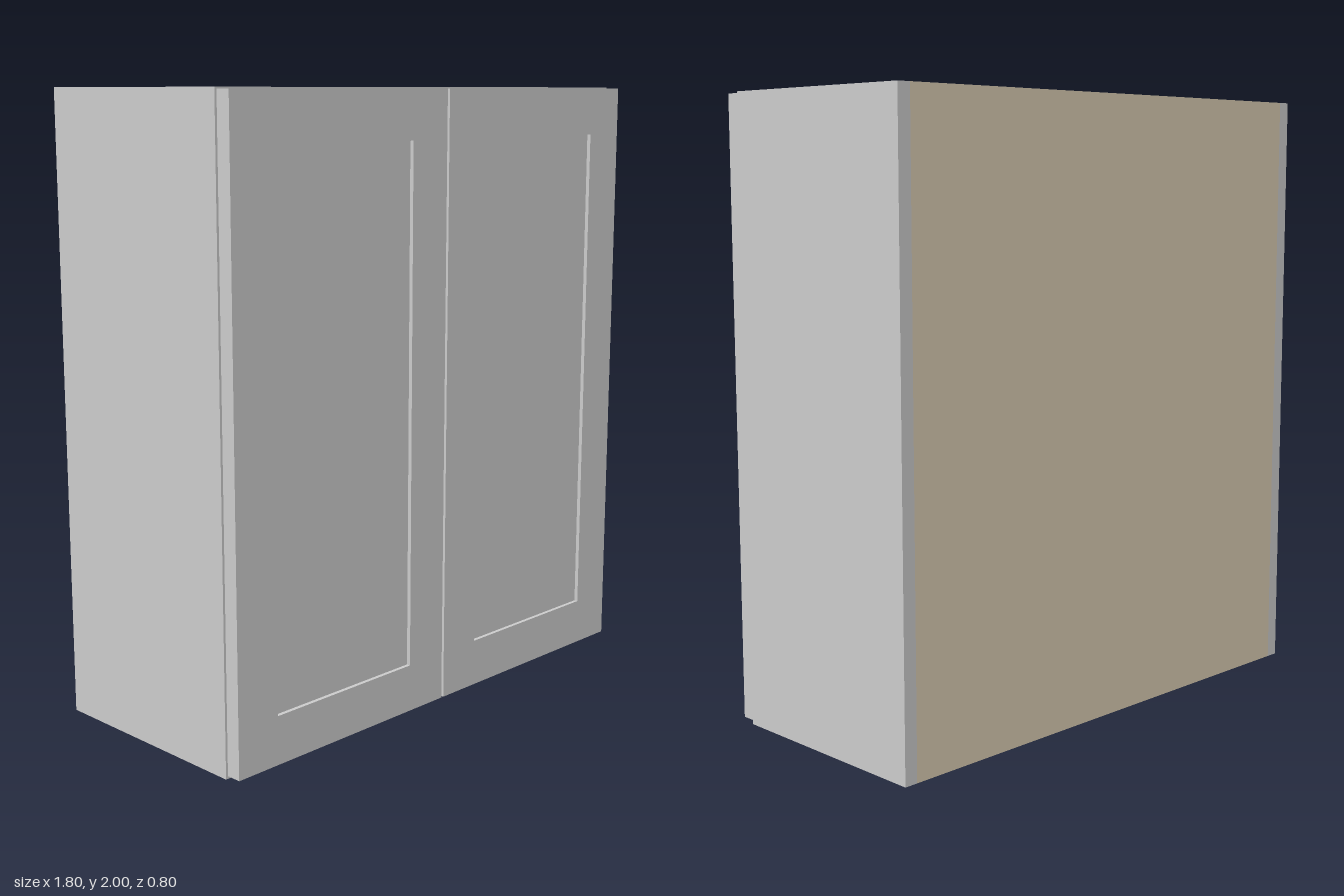
import * as THREE from 'three';

const grey = new THREE.MeshStandardMaterial({ color: 0xcccccc });
const wood = new THREE.MeshStandardMaterial({ color: 0xd8cbb2 });

// Box given by its min and max corners
function board(name, [x0, y0, z0], [x1, y1, z1], material) {
  const mesh = new THREE.Mesh(new THREE.BoxGeometry(x1 - x0, y1 - y0, z1 - z0), material);
  mesh.position.set((x0 + x1) / 2, (y0 + y1) / 2, (z0 + z1) / 2);
  mesh.name = name;
  return mesh;
}

// Rectangle outline centred on the origin
function rectangle(target, w, h) {
  return target.moveTo(-w / 2, -h / 2).lineTo(w / 2, -h / 2)
    .lineTo(w / 2, h / 2).lineTo(-w / 2, h / 2).closePath();
}

// Framed door with a recessed centre panel
function createDoor(name) {
  const width = 0.89, height = 1.985, rail = 0.155, depth = 0.05, recess = 0.013;
  const openW = width - 2 * rail, openH = height - 2 * rail;
  const door = new THREE.Group();
  door.name = name;

  const outline = rectangle(new THREE.Shape(), width, height);
  outline.holes.push(rectangle(new THREE.Path(), openW, openH));
  const frame = new THREE.Mesh(
    new THREE.ExtrudeGeometry(outline, { depth, bevelEnabled: false }), grey);
  frame.name = 'doorFrame';

  const panel = board('doorPanel', [-openW / 2, -openH / 2, 0],
    [openW / 2, openH / 2, depth - recess], grey);
  door.add(frame, panel);
  return door;
}

export function createModel() {
  const cabinet = new THREE.Group();
  cabinet.name = 'wallCabinet';

  // Carcass
  const back = -0.4, front = 0.347, inner = 0.855, t = 0.05;
  cabinet.add(
    board('leftSide', [inner, 0, back], [0.9, 2, front], grey),
    board('rightSide', [-0.9, 0, back], [-inner, 2, front], grey),
    board('topPanel', [-inner, 2 - t, back + 0.03], [inner, 2, front], grey),
    board('bottomPanel', [-inner, 0, back + 0.03], [inner, t, front], wood),
    board('backPanel', [-inner, 0, back], [inner, 2, back + 0.03], wood),
    board('shelf', [-inner, 0.98, back + 0.03], [inner, 1.03, front - 0.02], wood),
  );

  // Pair of doors with a narrow gap between them
  for (const side of [1, -1]) {
    const door = createDoor(side > 0 ? 'leftDoor' : 'rightDoor');
    door.position.set(side * 0.45, 1.003, 0.35);
    cabinet.add(door);
  }
  return cabinet;
}
